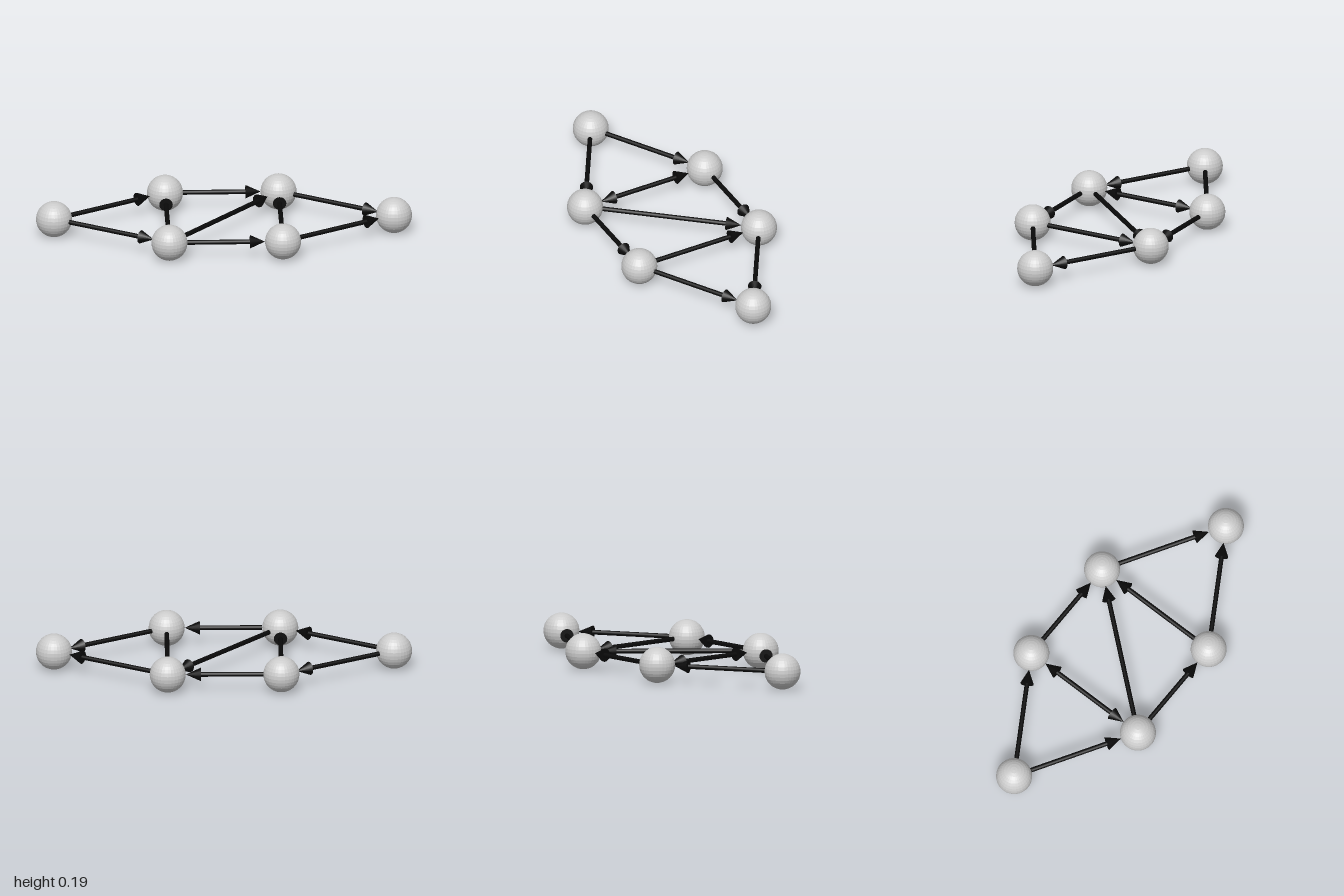
import * as THREE from 'three';

const R = 0.096;        // node radius, also the height of every centre
const SHAFT_R = 0.0125;
const HEAD_R = 0.036;
const HEAD_L = 0.08;

export function createModel() {
  const model = new THREE.Group();
  const grey = new THREE.MeshStandardMaterial({ color: 0xcccccc, flatShading: true });
  const black = new THREE.MeshStandardMaterial({ color: 0x0a0a0a });

  const nodes = {
    start: [-0.904, 0], backRight: [-0.302, -0.362], frontRight: [-0.302, 0.362],
    backLeft: [0.302, -0.362], frontLeft: [0.302, 0.362], end: [0.904, 0],
  };

  // Spherical nodes
  const ball = new THREE.SphereGeometry(R, 32, 16);
  for (const [name, [x, z]] of Object.entries(nodes)) {
    const node = new THREE.Mesh(ball, grey);
    node.name = name + 'Node';
    node.position.set(x, R, z);
    model.add(node);
  }

  // Arrow running along +y from the surface of one node to the next, then turned into place
  function addArrow(from, to, twoWay = false) {
    const a = new THREE.Vector3(nodes[from][0], R, nodes[from][1]);
    const b = new THREE.Vector3(nodes[to][0], R, nodes[to][1]);
    const dir = b.clone().sub(a);
    const half = dir.length() / 2 - R;   // half the gap between the two surfaces
    const arrow = new THREE.Group();
    arrow.name = `${from}To${to[0].toUpperCase()}${to.slice(1)}Arrow`;

    const top = half - HEAD_L;
    const bottom = twoWay ? -top : -half;
    const shaft = new THREE.Mesh(new THREE.CylinderGeometry(SHAFT_R, SHAFT_R, top - bottom, 16), black);
    shaft.name = 'shaft';
    shaft.position.y = (top + bottom) / 2;
    arrow.add(shaft);

    for (const s of twoWay ? [1, -1] : [1]) {
      const head = new THREE.Mesh(new THREE.ConeGeometry(HEAD_R, HEAD_L, 16), black);
      head.name = 'arrowHead';
      head.position.y = s * (half - HEAD_L / 2);
      if (s < 0) head.rotation.x = Math.PI;
      arrow.add(head);
    }

    arrow.position.copy(a).add(b).multiplyScalar(0.5);
    arrow.quaternion.setFromUnitVectors(new THREE.Vector3(0, 1, 0), dir.normalize());
    model.add(arrow);
  }

  // Outer ring of arrows, mirrored front and back
  for (const side of ['back', 'front']) {
    addArrow('start', side + 'Right');
    addArrow(side + 'Right', side + 'Left');
    addArrow(side + 'Left', 'end');
  }
  // Cross links
  addArrow('frontRight', 'backRight', true);
  addArrow('frontRight', 'backLeft');
  addArrow('frontLeft', 'backLeft');

  return model;
}
